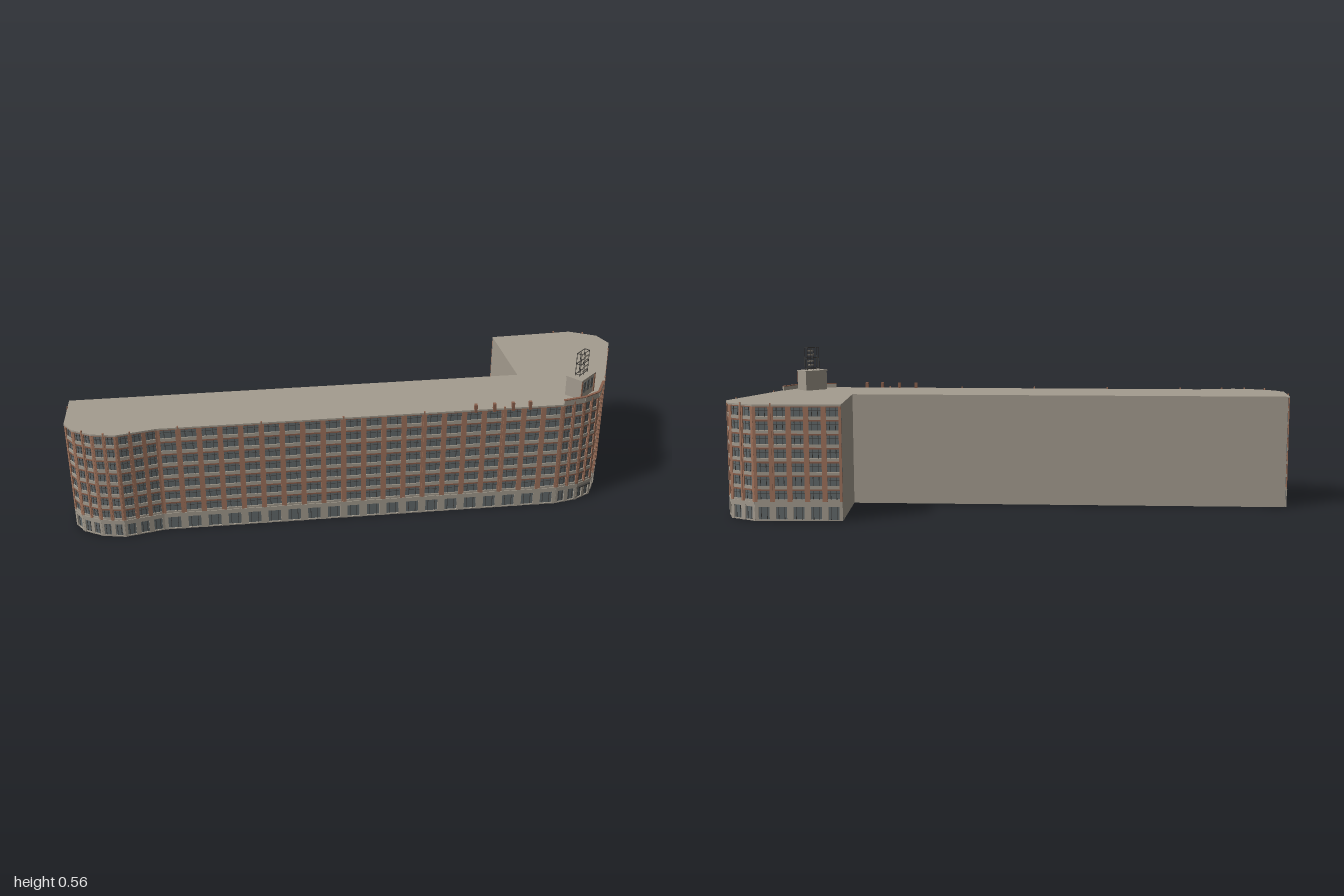
import * as THREE from 'three';
import { mergeGeometries } from 'three/addons/utils/BufferGeometryUtils.js';

const mat = (name, color) => Object.assign(new THREE.MeshStandardMaterial({ color }), { name });
const stone = mat('stone', 0xa49c8f);
const brick = mat('brick', 0xa0735c);
const darkBrick = mat('darkBrick', 0x8a5f4c);
const glass = mat('glass', 0x636a6c);
const frame = mat('darkFrame', 0x3f3d3a);

// Outline as [x, z, bays of the wall that starts here]; 0 bays is a blank wall
const OUTLINE = [
  [-0.995, 0.035, 3], [-1, 0.2, 1], [-0.97, 0.245, 2], [-0.905, 0.282, 2], [-0.825, 0.298, 3],
  [-0.69, 0.27, 20], [0.7, 0.27, 2], [0.78, 0.254, 2], [0.84, 0.222, 2], [0.88, 0.145, 6],
  [1, -0.187, 1], [0.972, -0.255, 2], [0.877, -0.303, 5], [0.573, -0.29, 0], [0.593, 0.03, 0],
];
const N = OUTLINE.length, DEPTH = 0.007, ROOF = 0.405, BASE = 0.067;
const FLOORS = 7, PITCH = 0.0483, SILL = 0.0745, WINDOW = 0.031;

// Outline with every wall that has bays moved inwards by d
function insetOutline(d) {
  const lines = OUTLINE.map(([x, z, bays], i) => {
    const [x2, z2] = OUTLINE[(i + 1) % N];
    const len = Math.hypot(x2 - x, z2 - z), dx = (x2 - x) / len, dz = (z2 - z) / len;
    const off = bays ? d : 0;
    return { x: x + dz * off, z: z - dx * off, dx, dz };
  });
  return lines.map((b, i) => {
    const a = lines[(i + N - 1) % N];
    const t = ((b.x - a.x) * b.dz - (b.z - a.z) * b.dx) / (a.dx * b.dz - a.dz * b.dx);
    return [a.x + a.dx * t, a.z + a.dz * t];
  });
}

function slab(points, y0, y1) {
  const shape = new THREE.Shape(points.map(([x, z]) => new THREE.Vector2(x, -z)));
  const geo = new THREE.ExtrudeGeometry(shape, { depth: y1 - y0, bevelEnabled: false });
  return geo.rotateX(-Math.PI / 2).translate(0, y0, 0);
}

function box(x0, x1, y0, y1, z0, z1) {
  return new THREE.BoxGeometry(x1 - x0, y1 - y0, z1 - z0)
    .translate((x0 + x1) / 2, (y0 + y1) / 2, (z0 + z1) / 2);
}

function add(parent, name, material, geos) {
  const mesh = new THREE.Mesh(Array.isArray(geos) ? mergeGeometries(geos) : geos, material);
  mesh.name = name;
  parent.add(mesh);
  return mesh;
}

// One windowed wall: local x runs along it, local z points outwards
function facade(length, bays, openStart, openEnd) {
  const g = new THREE.Group();
  g.name = 'facade';
  const bay = length / bays;
  const parts = { piers: [], basePiers: [], spandrels: [], lintels: [], mullions: [], pipes: [] };
  const span = (x, w) => [
    Math.max(x - w / 2, openStart ? 0 : -0.002), Math.min(x + w / 2, length + (openEnd ? 0 : 0.002)),
  ];
  for (let i = 0; i <= bays; i++) {
    const x = i * bay;
    parts.piers.push(box(...span(x, Math.min(0.018, bay * 0.3)), BASE, 0.4, 0, 0.006));
    parts.basePiers.push(box(...span(x, bay * 0.37), 0, BASE, 0, 0.006));
    if (i % 4 === 1 && i < bays) {
      parts.pipes.push(box(x - 0.0025, x + 0.0025, BASE, 0.411, 0.005, 0.009));
    }
    if (i === bays) continue;
    for (const side of [-1, 1]) {
      const m = x + bay / 2 + side * bay * 0.17;
      parts.mullions.push(box(m - 0.0009, m + 0.0009, 0, 0.4, 0, 0.0022));
    }
  }
  for (let k = 0; k < FLOORS; k++) {
    const y = SILL + k * PITCH, top = y + WINDOW;
    parts.spandrels.push(box(0, length, y - 0.0115, y, 0, 0.0045));
    parts.lintels.push(box(0, length, top, k === FLOORS - 1 ? 0.4 : top + 0.0055, 0, 0.005));
    parts.mullions.push(box(0, length, y + 0.02, y + 0.0212, 0, 0.0018));
  }
  add(g, 'windowGlass', glass, box(0, length, 0, 0.4, -0.001, 0.001));
  add(g, 'windowBars', frame, parts.mullions);
  add(g, 'brickPiers', brick, parts.piers);
  add(g, 'lintels', darkBrick, parts.lintels);
  add(g, 'spandrels', stone, parts.spandrels);
  // Stone ground storey with its band and plinth
  add(g, 'groundFloor', stone, [
    ...parts.basePiers, box(0, length, 0.05, BASE, 0, 0.0058),
    box(0, length, BASE - 0.003, BASE, 0, DEPTH), box(0, length, 0, 0.004, 0, 0.005),
  ]);
  if (parts.pipes.length) add(g, 'pilasterStrips', brick, parts.pipes);
  return g;
}

export function createModel() {
  const model = new THREE.Group();
  model.name = 'cornerWarehouse';
  const inner = insetOutline(DEPTH);
  add(model, 'buildingCore', stone, slab(inner, 0, 0.4));
  add(model, 'roof', stone, slab(OUTLINE, 0.399, ROOF));

  OUTLINE.forEach(([, , bays], i) => {
    if (!bays) return;
    const [x, z] = inner[i], [x2, z2] = inner[(i + 1) % N];
    const length = Math.hypot(x2 - x, z2 - z);
    const wall = facade(length, bays, i === 0, !OUTLINE[(i + 1) % N][2]);
    wall.position.set(x, 0, z);
    wall.rotation.y = Math.atan2(z - z2, x2 - x);
    // Raised parapet around the rounded corner
    if (i >= 6 && i <= 8) {
      add(wall, 'cornerParapet', stone, box(0, length, 0.4, 0.419, 0, DEPTH));
      add(wall, 'parapetCap', darkBrick, box(0, length, 0.419, 0.422, -0.001, DEPTH + 0.001));
    }
    // Canopy over the corner entrance
    if (i === 7) add(wall, 'entranceCanopy', frame, box(0.005, length - 0.005, 0.05, 0.054, 0, 0.014));
    model.add(wall);
  });

  // Short posts along the front edge of the roof
  add(model, 'roofPosts', darkBrick, [0.39, 0.455, 0.52, 0.58].map(
    (x) => box(x - 0.005, x + 0.005, 0.395, 0.425, 0.262, 0.274)));

  // Penthouse turned towards the corner
  const tower = new THREE.Group();
  tower.name = 'penthouse';
  tower.position.set(0.776, 0, 0.19);
  tower.rotation.y = 0.75;
  model.add(tower);
  add(tower, 'penthouseBody', stone, box(-0.045, 0.045, 0.4, 0.475, -0.031, 0.03));
  add(tower, 'penthouseCap', stone, box(-0.047, 0.047, 0.475, 0.479, -0.032, 0.032));
  const panes = [], bars = [], strips = [];
  for (const x of [-0.024, 0, 0.024]) {
    panes.push(box(x - 0.008, x + 0.008, 0.427, 0.466, 0.029, 0.031));
    bars.push(box(x - 0.0008, x + 0.0008, 0.427, 0.466, 0.03, 0.0318));
    bars.push(box(x - 0.008, x + 0.008, 0.446, 0.4475, 0.03, 0.0318));
  }
  for (const x of [-0.041, 0.041]) strips.push(box(x - 0.004, x + 0.004, 0.405, 0.475, 0.028, 0.032));
  add(tower, 'penthouseWindows', glass, panes);
  add(tower, 'penthouseWindowBars', frame, bars);
  add(tower, 'penthouseBrickStrips', brick, strips);

  // Open steel frame on the penthouse
  const steel = [], r = 0.0009, W = 0.025, D = 0.009;
  for (const z of [-D, D]) {
    for (const x of [-W, 0, W]) steel.push(box(x - r, x + r, 0.478, 0.565, z - r, z + r));
    for (const y of [0.486, 0.525, 0.564]) steel.push(box(-W, W, y - r, y + r, z - r, z + r));
  }
  for (const y of [0.486, 0.525, 0.564]) {
    for (const x of [-W, W]) steel.push(box(x - r, x + r, y - r, y + r, -D, D));
  }
  add(tower, 'steelFrame', frame, steel);
  // Blank slats on the front of the frame
  add(tower, 'frameSlats', stone, [0.494, 0.509, 0.533, 0.548].map(
    (y) => box(-0.014, 0.014, y, y + 0.006, D, D + 0.003)));

  return model;
}
